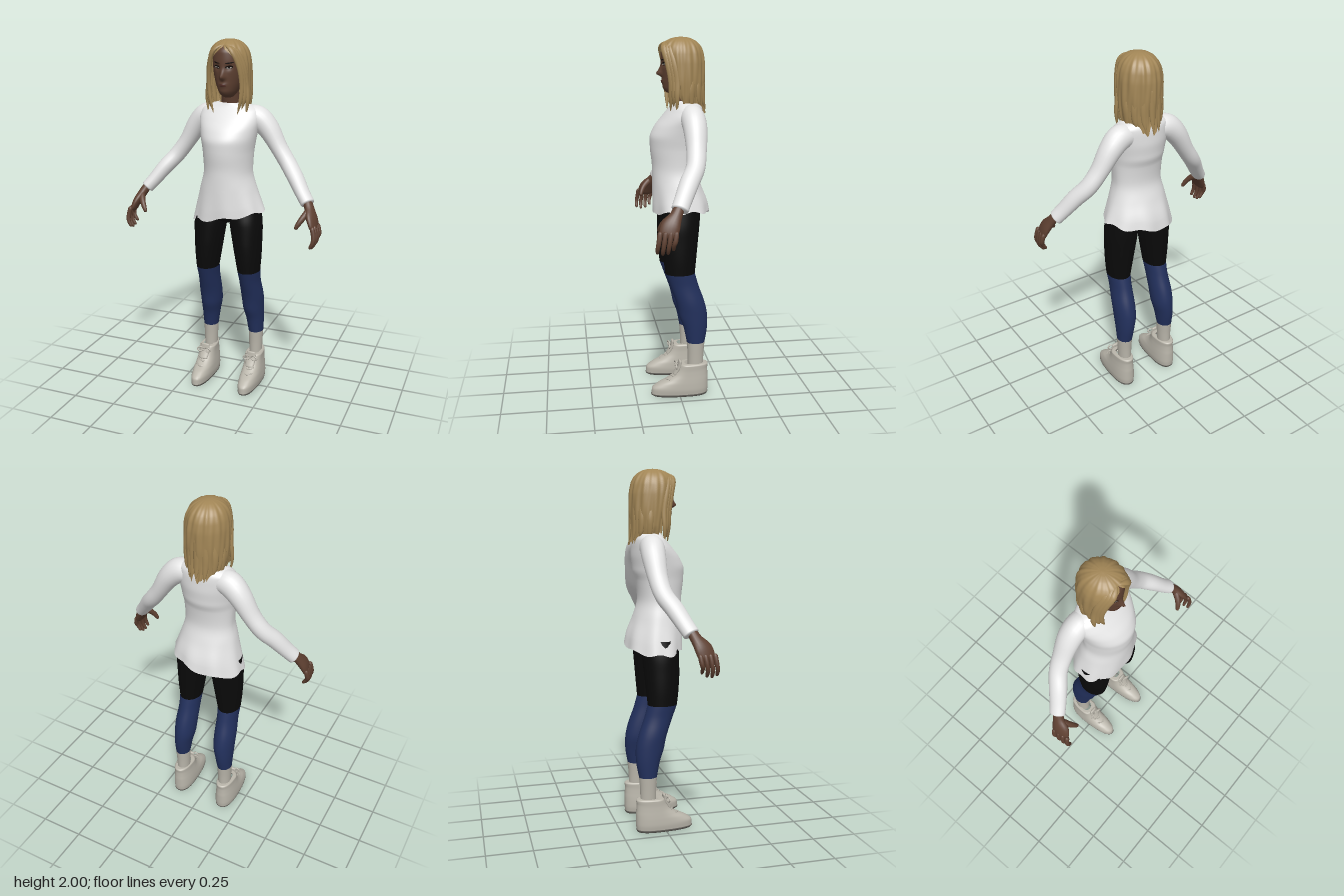
import * as THREE from 'three';
import { mergeVertices } from 'three/addons/utils/BufferGeometryUtils.js';

const V = (x, y, z) => new THREE.Vector3(x, y, z);
const gauss = (d, w) => Math.exp(-((d / w) ** 2));

// Smooth grid surface from a point function of (u, v)
function grid(nu, nv, fn) {
  const pos = [], idx = [];
  for (let j = 0; j <= nv; j++) for (let i = 0; i <= nu; i++) pos.push(...fn(i / nu, j / nv).toArray());
  for (let j = 0; j < nv; j++) for (let i = 0; i < nu; i++) {
    const a = j * (nu + 1) + i, b = a + 1, c = a + nu + 1, d = c + 1;
    idx.push(a, b, d, a, d, c);
  }
  let g = new THREE.BufferGeometry();
  g.setAttribute('position', new THREE.Float32BufferAttribute(pos, 3));
  g.setIndex(idx);
  g = mergeVertices(g, 1e-5);
  g.computeVertexNormals();
  return g;
}

// Monotone cubic interpolation of rows [y, cx, cz, rx, rFront, rBack, frontOpening]
function sample(rows, y) {
  const n = rows.length;
  let k = 0;
  while (k < n - 2 && y > rows[k + 1][0]) k++;
  const h = rows[k + 1][0] - rows[k][0], t = Math.min(1, Math.max(0, (y - rows[k][0]) / h));
  return rows[0].map((_, c) => {
    const sec = (i) => (rows[i + 1][c] - rows[i][c]) / (rows[i + 1][0] - rows[i][0]);
    const slope = (i) => {
      if (i === 0) return sec(0);
      if (i === n - 1) return sec(n - 2);
      const a = sec(i - 1), b = sec(i);
      return a * b <= 0 ? 0 : (2 * a * b) / (a + b);
    };
    const t2 = t * t, t3 = t2 * t;
    return (2 * t3 - 3 * t2 + 1) * rows[k][c] + (t3 - 2 * t2 + t) * h * slope(k)
      + (3 * t2 - 2 * t3) * rows[k + 1][c] + (t3 - t2) * h * slope(k + 1);
  });
}

// Upright body of oval cross-sections
function loft(rows, { seg = 40, sub = 5, e = 1, deform } = {}) {
  const pw = (v) => Math.sign(v) * Math.abs(v) ** e, nv = (rows.length - 1) * sub;
  return grid(seg, nv, (u, v) => {
    const f = v * (rows.length - 1), k = Math.min(rows.length - 2, Math.floor(f + 1e-9));
    const y = rows[k][0] + (f - k) * (rows[k + 1][0] - rows[k][0]);
    const [, cx, cz, rx, rf, rb, open = 0] = sample(rows, y);
    const a = open + u * (2 * Math.PI - 2 * open), c = Math.abs(Math.cos(a)) < 1e-9 ? 0 : Math.cos(a);
    const s = Math.abs(Math.sin(a)) < 1e-9 ? 0 : Math.sin(a);
    const p = V(cx + rx * pw(s), y, cz + (c > 0 ? rf : rb) * pw(c));
    if (deform) deform(p, a, cx, cz);
    return p;
  });
}

// Rounded limb through points [x, y, z, radiusAlongRef, radiusAcross]
function limb(pts, ref = V(0, 0, 1), nu = 14, nv = 24, cap = 0.06) {
  const path = new THREE.CatmullRomCurve3(pts.map((p) => V(p[0], p[1], p[2])));
  const size = new THREE.CatmullRomCurve3(pts.map((p) => V(p[3], p[4] ?? p[3], 0)));
  return grid(nu, nv, (u, v) => {
    const t = 0.5 - 0.5 * Math.cos(Math.PI * v), T = path.getTangent(t), r = size.getPoint(t);
    const U = ref.clone().addScaledVector(T, -ref.dot(T)).normalize(), W = T.clone().cross(U);
    const d = Math.max(0, 1 - t / cap, 1 - (1 - t) / cap), k = Math.sqrt(Math.max(0, 1 - d * d));
    const a = (u % 1) * 2 * Math.PI;
    return path.getPoint(t).addScaledVector(U, r.x * k * Math.cos(a)).addScaledVector(W, r.y * k * Math.sin(a));
  });
}

function mirrored(g) {
  const m = g.clone().scale(-1, 1, 1), a = m.index.array;
  for (let i = 0; i < a.length; i += 3) [a[i], a[i + 1]] = [a[i + 1], a[i]];
  return m;
}

export function createModel() {
  const model = new THREE.Group();
  const mat = (name, color, side = THREE.FrontSide) => {
    const m = new THREE.MeshStandardMaterial({ color, side });
    m.name = name;
    return m;
  };
  const skin = mat('skin', 0x5e4031), hairMat = mat('hair', 0xa28656, THREE.DoubleSide);
  const cloth = mat('white cloth', 0xe4e4e4, THREE.DoubleSide), black = mat('black cloth', 0x0a0a0a);
  const navy = mat('navy cloth', 0x22305c), shoeMat = mat('shoe grey', 0xb9b5aa);
  const soleMat = mat('sole grey', 0x68655f), dark = mat('lash dark', 0x17100d);
  const eyeMat = mat('eye white', 0xb8aea4), lipMat = mat('lips', 0x543028);
  const add = (name, g, m) => {
    const mesh = new THREE.Mesh(g, m);
    mesh.name = name;
    model.add(mesh);
  };
  const pair = (name, g, m) => {
    add(name + 'Left', g, m);
    add(name + 'Right', mirrored(g), m);
  };

  // Head with nose, sockets and lips
  const headRows = [
    [1.695, 0, -0.02, 0.03, 0.04, 0.05], [1.712, 0, -0.02, 0.042, 0.076, 0.055], [1.735, 0, -0.02, 0.054, 0.089, 0.07],
    [1.78, 0, -0.02, 0.07, 0.092, 0.09], [1.83, 0, -0.02, 0.08, 0.096, 0.11], [1.88, 0, -0.02, 0.084, 0.1, 0.115],
    [1.93, 0, -0.02, 0.08, 0.097, 0.105], [1.965, 0, -0.02, 0.06, 0.075, 0.08], [1.982, 0, -0.02, 0, 0, 0]];
  const bump = (x, y) => 0.024 * gauss(x, 0.012) * gauss(y - 1.806, y < 1.806 ? 0.013 : 0.034)
    + 0.007 * gauss(x, 0.016) * gauss(y - 1.806, 0.012) + 0.006 * gauss(x, 0.022) * gauss(y - 1.766, 0.012)
    - 0.008 * gauss(Math.abs(x) - 0.033, 0.017) * gauss(y - 1.857, 0.014);
  add('head', loft(headRows, { seg: 96, sub: 7, deform: (p, a) => { if (Math.cos(a) > 0) p.z += bump(p.x, p.y); } }), skin);
  add('neck', loft([[1.62, 0, -0.06, 0.062, 0.055, 0.055], [1.67, 0, -0.045, 0.05, 0.05, 0.05], [1.76, 0, -0.03, 0.047, 0.05, 0.05]]), skin);

  // Thin painted ovals that follow the face
  const faceOval = (cx, cy, w, h, tilt = 0, lift = 0.002) => grid(20, 4, (u, v) => {
    const a = (u % 1) * 2 * Math.PI, x = cx + w * (1 - v) * Math.cos(a);
    const y = cy + h * (1 - v) * Math.sin(a) + tilt * (x - cx);
    const [, , cz, rx, rf] = sample(headRows, y);
    return V(x, y, cz + rf * Math.sqrt(Math.max(0, 1 - (x / rx) ** 2)) + bump(x, y) + lift);
  });
  pair('lashes', faceOval(0.034, 1.859, 0.019, 0.0085, 0.1), dark);
  pair('eye', faceOval(0.034, 1.857, 0.013, 0.0045, 0.1, 0.003), eyeMat);
  pair('iris', faceOval(0.034, 1.857, 0.005, 0.0048, 0, 0.004), dark);
  pair('eyebrow', faceOval(0.036, 1.881, 0.021, 0.0035, 0.15), dark);
  add('upperLip', faceOval(0, 1.769, 0.022, 0.004), lipMat);
  add('lowerLip', faceOval(0, 1.761, 0.019, 0.005), lipMat);

  // Hair: open-fronted shell with combed ridges and ragged ends
  const hairRows = [
    [1.61, 0, -0.045, 0.088, 0.07, 0.118, 1.75], [1.65, 0, -0.04, 0.104, 0.075, 0.117, 1.35],
    [1.7, 0, -0.038, 0.114, 0.085, 0.118, 1.15], [1.78, 0, -0.035, 0.119, 0.1, 0.126, 0.98],
    [1.86, 0, -0.032, 0.117, 0.112, 0.128, 0.78], [1.91, 0, -0.03, 0.11, 0.116, 0.122, 0.55],
    [1.945, 0, -0.03, 0.097, 0.111, 0.108, 0.22], [1.97, 0, -0.03, 0.078, 0.092, 0.087, 0],
    [1.988, 0, -0.03, 0.052, 0.06, 0.058, 0], [1.996, 0, -0.03, 0.026, 0.03, 0.03, 0], [1.999, 0, -0.03, 0, 0, 0, 0]];
  add('hairShell', loft(hairRows, { seg: 120, sub: 4, deform: (p, a, cx, cz) => {
    const k = 1 + 0.02 * Math.sin(13 * a + 9 * p.y) + 0.014 * Math.sin(22 * a - 14 * p.y);
    p.x = cx + (p.x - cx) * k;
    p.z = cz + (p.z - cz) * k;
    const low = Math.max(0, (1.7 - p.y) / 0.09);
    p.y += low * (0.02 * Math.sin(11 * a) + 0.012 * Math.sin(19 * a + 1));
  } }), hairMat);
  // Loose locks from the parting, past the cheeks, onto the shoulders
  const out = V(1, 0, 0.4).normalize();
  [[0, 1.61], [0.014, 1.635], [0.028, 1.6]].forEach(([o, end], i) => {
    pair('frontLock' + i, limb([[0.004, 1.972, 0.055 - o, 0.006, 0.006], [0.05 + o * 0.4, 1.945, 0.07 - o, 0.011, 0.018],
      [0.082 + o * 0.5, 1.87, 0.052 - o, 0.012, 0.018], [0.094 + o * 0.5, 1.77, 0.035 - o, 0.012, 0.017],
      [0.088 + o, 1.69, 0.035 - o, 0.01, 0.014], [0.068 + o * 1.4, end, 0.036 - o, 0.002, 0.002]], out, 10, 30), hairMat);
  });
  for (let i = 0; i < 7; i++) {
    const a = Math.PI + (i - 3) * 0.42, s = Math.sin(a), c = Math.cos(a), end = 1.6 + 0.012 * ((i * 3) % 4);
    add('backLock' + i, limb([[0.09 * s, 1.84, -0.035 + 0.118 * c, 0.008, 0.015], [0.113 * s, 1.74, -0.035 + 0.118 * c, 0.01, 0.018],
      [0.108 * s, 1.67, -0.035 + 0.12 * c, 0.009, 0.015], [0.1 * s, end, -0.035 + 0.13 * c, 0.002, 0.002]], V(s, 0, c), 10, 16), hairMat);
  }

  // Loose top with slanted, rippled hem
  add('shirtBody', loft([
    [1.04, 0, -0.02, 0.205, 0.148, 0.165], [1.1, 0, -0.02, 0.188, 0.15, 0.155], [1.2, 0, -0.02, 0.16, 0.15, 0.12],
    [1.3, 0, -0.02, 0.137, 0.15, 0.094], [1.4, 0, -0.02, 0.142, 0.16, 0.105], [1.46, 0, -0.02, 0.151, 0.162, 0.122],
    [1.52, 0, -0.025, 0.162, 0.143, 0.123], [1.58, 0, -0.035, 0.172, 0.105, 0.113], [1.62, 0, -0.045, 0.165, 0.08, 0.1],
    [1.648, 0, -0.052, 0.125, 0.065, 0.082], [1.664, 0, -0.055, 0.066, 0.06, 0.062]],
  { seg: 64, deform: (p, a, cx, cz) => {
    const t = Math.min(1, Math.max(0, (1.22 - p.y) / 0.18)), k = 1 + 0.025 * t * Math.sin(9 * a);
    p.x *= k;
    p.z = cz + (p.z - cz) * k;
    p.y += t * (0.18 * p.x + 0.008 * Math.sin(7 * a + 1));
  } }), cloth);
  pair('sleeve', limb([[0.08, 1.585, -0.065, 0.06, 0.06], [0.145, 1.58, -0.07, 0.066, 0.068], [0.2, 1.535, -0.075, 0.064, 0.061],
    [0.275, 1.42, -0.07, 0.053, 0.046], [0.33, 1.345, -0.055, 0.05, 0.045], [0.385, 1.28, -0.015, 0.05, 0.043],
    [0.44, 1.205, 0.025, 0.046, 0.038], [0.478, 1.158, 0.05, 0.044, 0.036]], V(0, 0, 1), 24, 48, 0.02), cloth);

  // Hands, relaxed, with thumbs forward and inward
  const side = V(-0.15, 0, 1).normalize();
  pair('palm', limb([[0.465, 1.185, 0.045, 0.026, 0.024], [0.49, 1.14, 0.068, 0.032, 0.024],
    [0.515, 1.09, 0.1, 0.05, 0.022], [0.535, 1.035, 0.117, 0.046, 0.014]], side, 18, 20, 0.12), skin);
  for (let i = 0; i < 4; i++) {
    const z = 0.156 - 0.027 * i, drop = [0.008, 0, 0.004, 0.022][i];
    pair('finger' + i, limb([[0.528 + 0.003 * i, 1.07, z - 0.002, 0.013], [0.54 + 0.003 * i, 1.02, z + 0.005, 0.0125],
      [0.539 + 0.002 * i, 0.98 + drop, z + 0.011, 0.011], [0.522, 0.945 + drop, z + 0.012, 0.008]], side, 10, 14, 0.08), skin);
  }
  pair('thumb', limb([[0.492, 1.135, 0.085, 0.02], [0.468, 1.1, 0.125, 0.016], [0.45, 1.07, 0.143, 0.013],
    [0.437, 1.045, 0.15, 0.009]], side, 10, 14, 0.08), skin);

  // Hips, thighs and lower legs
  add('hips', loft([[1.0, 0, -0.015, 0.03, 0.05, 0.06], [1.025, 0, -0.015, 0.13, 0.08, 0.1], [1.06, 0, -0.015, 0.185, 0.105, 0.118],
    [1.13, 0, -0.015, 0.17, 0.105, 0.11], [1.22, 0, -0.015, 0.13, 0.1, 0.08]]), black);
  const knee = [0.72, 0.125, -0.01, 0.063, 0.085, 0.08];
  pair('thigh', loft([knee, [0.8, 0.121, -0.01, 0.073, 0.094, 0.088], [0.9, 0.114, -0.01, 0.083, 0.1, 0.098],
    [1.0, 0.106, -0.01, 0.091, 0.1, 0.108], [1.08, 0.098, -0.01, 0.09, 0.09, 0.115]]), black);
  pair('lowerLeg', loft([[0.31, 0.143, -0.095, 0.042, 0.05, 0.05], [0.4, 0.138, -0.09, 0.051, 0.063, 0.07],
    [0.48, 0.131, -0.08, 0.06, 0.08, 0.08], [0.55, 0.13, -0.062, 0.062, 0.077, 0.083], [0.65, 0.126, -0.03, 0.059, 0.08, 0.08], knee]), navy);
  pair('sock', loft([[0.15, 0.143, -0.092, 0.036, 0.042, 0.046], [0.24, 0.143, -0.093, 0.039, 0.044, 0.047],
    [0.315, 0.143, -0.095, 0.0425, 0.051, 0.051]]), shoeMat);

  // High-top shoes with soles, tongues and laces
  const sx = 0.147, shoeRows = [
    [0.012, sx, -0.05, 0.054, 0.21, 0.112], [0.045, sx, -0.05, 0.058, 0.208, 0.115], [0.075, sx, -0.05, 0.057, 0.172, 0.115],
    [0.1, sx, -0.05, 0.055, 0.12, 0.115], [0.13, sx, -0.05, 0.052, 0.078, 0.113], [0.16, sx, -0.05, 0.05, 0.058, 0.112],
    [0.182, sx, -0.05, 0.05, 0.048, 0.115], [0.19, sx, -0.05, 0.044, 0.042, 0.108], [0.191, sx, -0.06, 0.03, 0.03, 0.07]];
  pair('shoe', loft(shoeRows, { e: 0.85 }), shoeMat);
  pair('sole', loft([[0, sx, -0.05, 0, 0, 0], [0.0005, sx, -0.05, 0.05, 0.2, 0.108], [0.014, sx, -0.05, 0.0555, 0.213, 0.114],
    [0.016, sx, -0.05, 0.05, 0.2, 0.108]], { e: 0.85 }), soleMat);
  pair('tongue', limb([[sx, 0.12, 0.03, 0.024, 0.01], [sx, 0.17, 0.002, 0.03, 0.01], [sx, 0.21, -0.005, 0.026, 0.008]], V(1, 0, 0)), shoeMat);
  for (let i = 0; i < 5; i++) {
    const y = 0.098 + 0.019 * i, z = -0.05 + sample(shoeRows, y)[4];
    pair('lace' + i, limb([[sx - 0.03, y - 0.004, z - 0.018, 0.004], [sx, y, z + 0.003, 0.004],
      [sx + 0.03, y + 0.004, z - 0.018, 0.004]], V(0, 1, 0), 8, 10), shoeMat);
  }
  for (const s of [-1, 1]) {
    pair(s < 0 ? 'innerBow' : 'outerBow', limb([[sx, 0.176, 0.006, 0.004], [sx + s * 0.022, 0.193, 0.018, 0.004],
      [sx + s * 0.042, 0.178, 0.02, 0.004], [sx + s * 0.025, 0.165, 0.018, 0.004], [sx, 0.174, 0.01, 0.004]], V(0, 0, 1), 8, 20), shoeMat);
  }
  return model;
}
